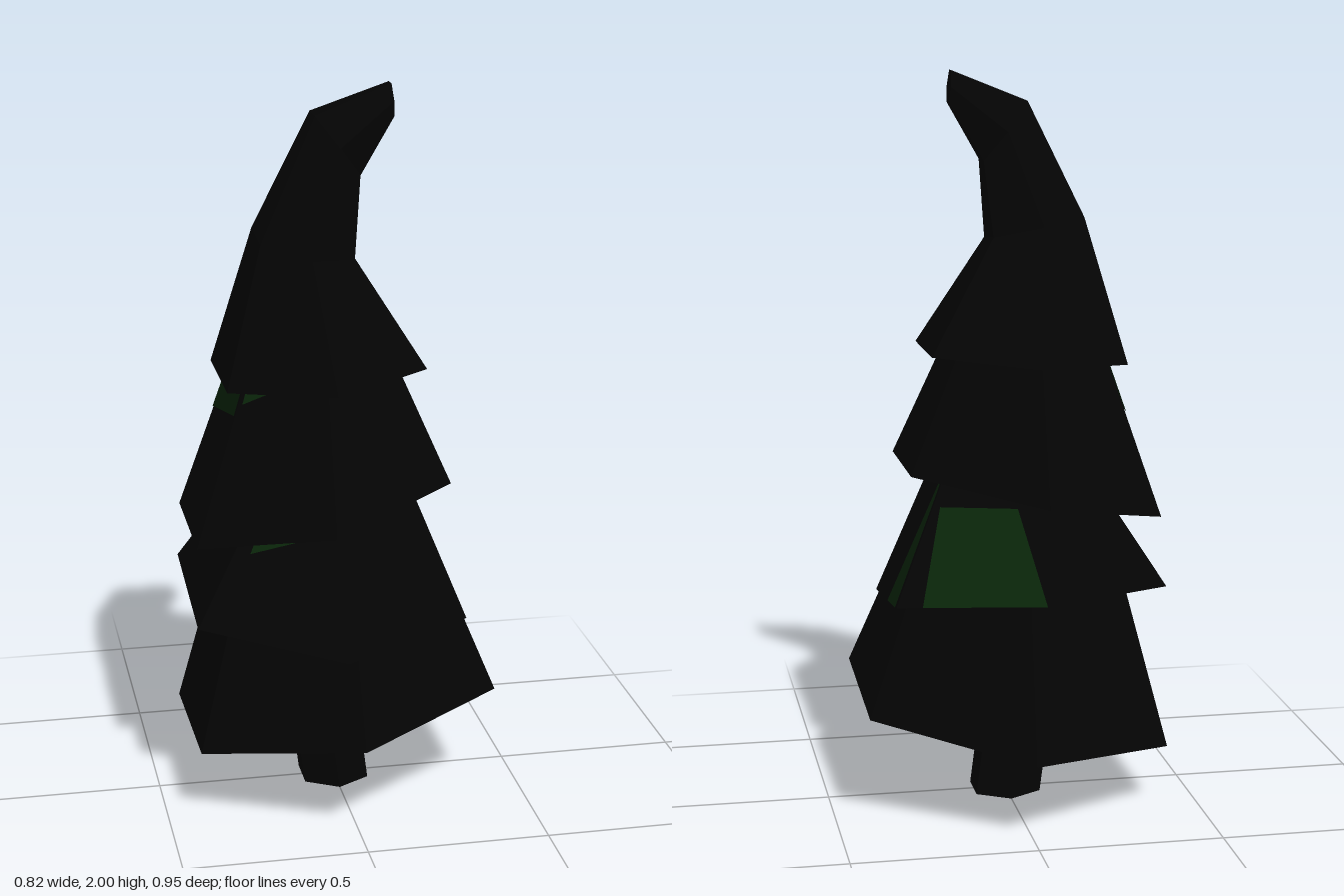
import * as THREE from 'three';

const dark = new THREE.MeshStandardMaterial({ color: 0x040404, flatShading: true });
const green = new THREE.MeshStandardMaterial({ color: 0x0a270a, flatShading: true, side: THREE.DoubleSide });

// Six corners of a tilted ring: centre, half width, depth radius, rise along x and z
function ring([x, y, z, hx, rz, riseX = 0, riseZ = 0]) {
  return Array.from({ length: 6 }, (_, k) => {
    const a = Math.PI / 6 + (k * Math.PI) / 3;
    const u = Math.cos(a) / Math.cos(Math.PI / 6), w = Math.sin(a);
    return new THREE.Vector3(x + hx * u, y + riseX * u + riseZ * w, z + rz * w);
  });
}

function mesh(name, points, material) {
  const g = new THREE.BufferGeometry().setFromPoints(points);
  g.computeVertexNormals();
  const m = new THREE.Mesh(g, material);
  m.name = name;
  return m;
}

// Faceted skin over rings; the underside is hollowed upwards, some of its sides green
function loft(name, specs, hollow, greenSides = []) {
  const rings = specs.map(ring), skin = [], under = [];
  const middle = (s, dy) => new THREE.Vector3(s[0], s[1] + dy, s[2]);
  const last = specs.length - 1;
  const bottom = middle(specs[0], hollow), top = middle(specs[last], 0);
  for (let k = 0; k < 6; k++) {
    const n = (k + 1) % 6;
    for (let i = 0; i < last; i++) {
      const a = rings[i][k], b = rings[i][n], c = rings[i + 1][k], d = rings[i + 1][n];
      skin.push(b, a, c, b, c, d);
    }
    skin.push(top, rings[last][n], rings[last][k]);
    (greenSides.includes(k) ? under : skin).push(bottom, rings[0][k], rings[0][n]);
  }
  const group = new THREE.Group();
  group.name = name;
  group.add(mesh(name + 'Skin', skin, dark));
  if (under.length) group.add(mesh(name + 'Underside', under, green));
  return group;
}

// Thin green patch on one side of a tier, corners given as [across, up] fractions
function patch(specs, side, corners) {
  const lo = ring(specs[0]), hi = ring(specs[1]), n = (side + 1) % 6;
  const a = (side * Math.PI) / 3 + Math.PI / 3;
  const out = new THREE.Vector3(Math.cos(a), 0.35, Math.sin(a)).multiplyScalar(0.003);
  const p = corners.map(([u, v]) =>
    lo[side].clone().lerp(lo[n], u).lerp(hi[side].clone().lerp(hi[n], u), v).add(out));
  return mesh('greenPatch', [p[0], p[1], p[2], p[0], p[2], p[3]], green);
}

export function createModel() {
  const tree = new THREE.Group();
  tree.name = 'tree';

  // Leaning trunk
  tree.add(loft('trunk', [[0, 0, 0, 0.09, 0.105], [-0.065, 0.5, 0, 0.09, 0.105]], 0));

  // Branch tiers, bottom to top; the last one bends over into the tip
  const tiers = [
    [[0, 0.25, 0, 0.41, 0.475, 0.062, 0.03], [-0.01, 0.7, 0, 0.27, 0.32]],
    [[-0.039, 0.577, 0.005, 0.371, 0.42, -0.012, -0.06], [-0.012, 1.0, 0.035, 0.16, 0.185]],
    [[-0.065, 0.865, 0.042, 0.345, 0.36, 0.07, -0.005], [-0.065, 1.4, 0.035, 0.145, 0.19]],
    [[-0.052, 1.233, 0.047, 0.268, 0.304, 0.018, -0.004],
      [-0.095, 1.575, 0.075, 0.125, 0.147, -0.025, -0.015],
      [-0.01, 1.84, 0.08, 0.06, 0.08, -0.08, 0],
      [0.132, 1.957, 0.115, 0.004, 0.035, -0.043, 0]],
  ];
  const hollows = [0.25, 0.2, 0.2, 0.15];
  tiers.forEach((specs, i) =>
    tree.add(loft('branchTier' + (i + 1), specs, hollows[i], i ? [4, 5] : [])));

  // Green foliage showing through on the second and third tiers
  const [, second, third] = tiers;
  tree.add(
    patch(second, 5, [[0.02, 0], [0.38, 0], [0.04, 0.85], [0, 0.7]]),
    patch(second, 4, [[0, 0], [0.82, 0], [0.92, 0.62], [0.12, 0.62]]),
    patch(second, 1, [[0, 0.67], [0.86, 0.46], [0.86, 0.6], [0, 0.75]]),
    patch(third, 2, [[0, 0.57], [1, 0.48], [1, 0.75], [0, 0.75]]),
    patch(third, 1, [[0.6, 0.68], [0.95, 0.62], [0.95, 0.75], [0.6, 0.75]]),
  );
  return tree;
}
